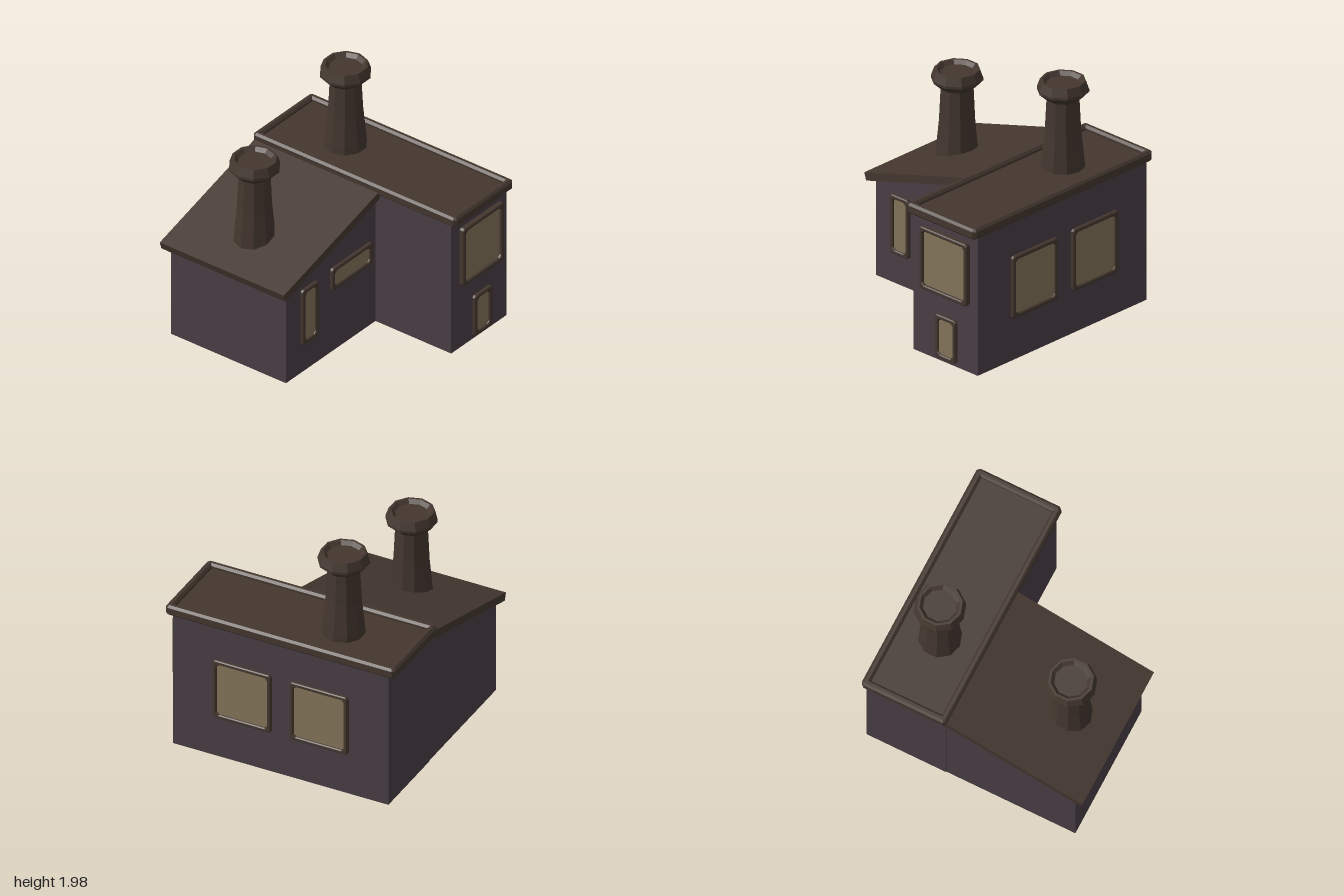
import * as THREE from 'three';

const mat = (name, color) => {
  const m = new THREE.MeshStandardMaterial({ color });
  m.name = name;
  return m;
};

// rectangle with cut corners, centred on the origin
function cutRect(w, h, c, Type = THREE.Shape) {
  const x = w / 2, y = h / 2;
  return new Type([
    [-x + c, -y], [x - c, -y], [x, -y + c], [x, y - c],
    [x - c, y], [-x + c, y], [-x, y - c], [-x, -y + c],
  ].map(([a, b]) => new THREE.Vector2(a, b)));
}

// bevelled ring whose final outer size is w x h, lying from z = 0 to depth
function ringGeometry(w, h, border, depth, bevel, corner, holeCorner) {
  const s = cutRect(w - 2 * bevel, h - 2 * bevel, corner);
  s.holes.push(cutRect(w - 2 * border + 2 * bevel, h - 2 * border + 2 * bevel, holeCorner, THREE.Path));
  const g = new THREE.ExtrudeGeometry(s, {
    depth: depth - 2 * bevel, bevelEnabled: true, bevelSize: bevel, bevelThickness: bevel, bevelSegments: 1,
  });
  return g.translate(0, 0, bevel);
}

// side profile given as [z, y] pairs, extruded from x0 to x1
function sideExtrude(points, x0, x1) {
  const s = new THREE.Shape(points.map(([z, y]) => new THREE.Vector2(z, y)));
  const g = new THREE.ExtrudeGeometry(s, { depth: x1 - x0, bevelEnabled: false });
  return g.rotateY(-Math.PI / 2).translate(x1, 0, 0);
}

export function createModel() {
  const wall = mat('wall plum', 0x4a3e45);
  const brown = mat('dark brown', 0x44372f);
  const glass = mat('window amber', 0x85755a);
  const root = new THREE.Group();
  root.name = 'house';

  const add = (name, geometry, material, parent = root) => {
    const m = new THREE.Mesh(geometry, material);
    m.name = name;
    parent.add(m);
    return m;
  };

  // walls of the tall rear block and the front wing
  add('rearWalls', new THREE.BoxGeometry(1.88, 1.2, 0.69), wall).position.set(0, 0.6, -0.585);
  add('wingWalls', sideExtrude([[-0.24, 0], [0.88, 0], [0.88, 0.845], [-0.24, 1.17]], -0.935, 0.195), wall);

  // sloping slab over the wing
  add('wingRoof', sideExtrude([[0.945, 0.805], [0.965, 0.87], [-0.26, 1.226], [-0.26, 1.158]], -0.98, 0.24), brown);

  // sagging trim under the front eave
  const sag = new THREE.Shape();
  sag.moveTo(-0.93, 0.82);
  sag.lineTo(-0.93, 0.797);
  sag.quadraticCurveTo(-0.37, 0.733, 0.19, 0.797);
  sag.lineTo(0.19, 0.82);
  add('eaveTrim', new THREE.ExtrudeGeometry(sag, { depth: 0.005, bevelEnabled: false }), brown).position.z = 0.879;

  // small wedge where the wing roof meets the rear block
  add('roofWedge', sideExtrude([[-0.08, 1.105], [-0.08, 1.12], [-0.24, 1.17], [-0.24, 1.1]], 0.194, 0.199), brown);

  // flat roof with a raised bevelled rim
  const rim = ringGeometry(2, 0.735, 0.06, 0.09, 0.018, 0.012, 0.004);
  rim.rotateX(-Math.PI / 2);
  add('roofRim', rim, brown).position.set(0, 1.182, -0.583);
  add('flatRoof', new THREE.BoxGeometry(1.92, 0.046, 0.65), brown).position.set(0, 1.213, -0.583);

  // chimneys: ten-sided flared stack and hollow cap
  const chimney = (name, z, base, top) => {
    const g = new THREE.Group();
    g.name = name;
    g.position.set(-0.37, 0, z);
    root.add(g);
    const lathe = (part, pts) => {
      const geo = new THREE.LatheGeometry(pts.map(([r, y]) => new THREE.Vector2(r, y)), 10).toNonIndexed();
      geo.computeVertexNormals();
      add(part, geo, brown, g);
    };
    const neck = top - 0.155;
    lathe('chimneyStack', [[0.173, base], [0.17, base + 0.06], [0.138, neck - 0.29 + 0.01], [0.128, neck + 0.01]]
      .map((p, i) => (i === 2 ? [0.142, base + (neck - base) * 0.55] : p)));
    lathe('chimneyCap', [
      [0.12, neck], [0.135, neck], [0.205, neck + 0.065], [0.205, neck + 0.085], [0.18, top],
      [0.16, top], [0.132, top - 0.03], [0, top - 0.03],
    ]);
  };
  chimney('rearChimney', -0.583, 1.22, 1.975);
  chimney('frontChimney', 0.555, 0.89, 1.69);

  // windows: bevelled frame with a thin pane set inside
  const windowAt = (name, w, h, pos, turn, depth) => {
    const g = new THREE.Group();
    g.name = name;
    g.position.set(...pos);
    g.rotation.y = turn;
    root.add(g);
    add('windowFrame', ringGeometry(w, h, 0.034, depth, 0.008, 0.012, 0.025), brown, g);
    add('windowPane', new THREE.BoxGeometry(w - 0.04, h - 0.04, 0.008), glass, g).position.z = depth * 0.45;
  };
  const side = Math.PI / 2;
  windowAt('wingTallWindow', 0.2, 0.505, [0.193, 0.517, 0.605], side, 0.037);
  windowAt('wingWideWindow', 0.505, 0.2, [0.193, 0.68, 0.082], side, 0.037);
  windowAt('rearLargeWindow', 0.51, 0.53, [0.938, 0.843, -0.595], side, 0.05);
  windowAt('rearSmallWindow', 0.22, 0.37, [0.938, 0.218, -0.608], side, 0.037);
  for (const x of [-0.345, 0.325]) {
    windowAt('backWindow', 0.505, 0.53, [x, 0.635, -0.928], Math.PI, 0.037);
  }
  return root;
}
